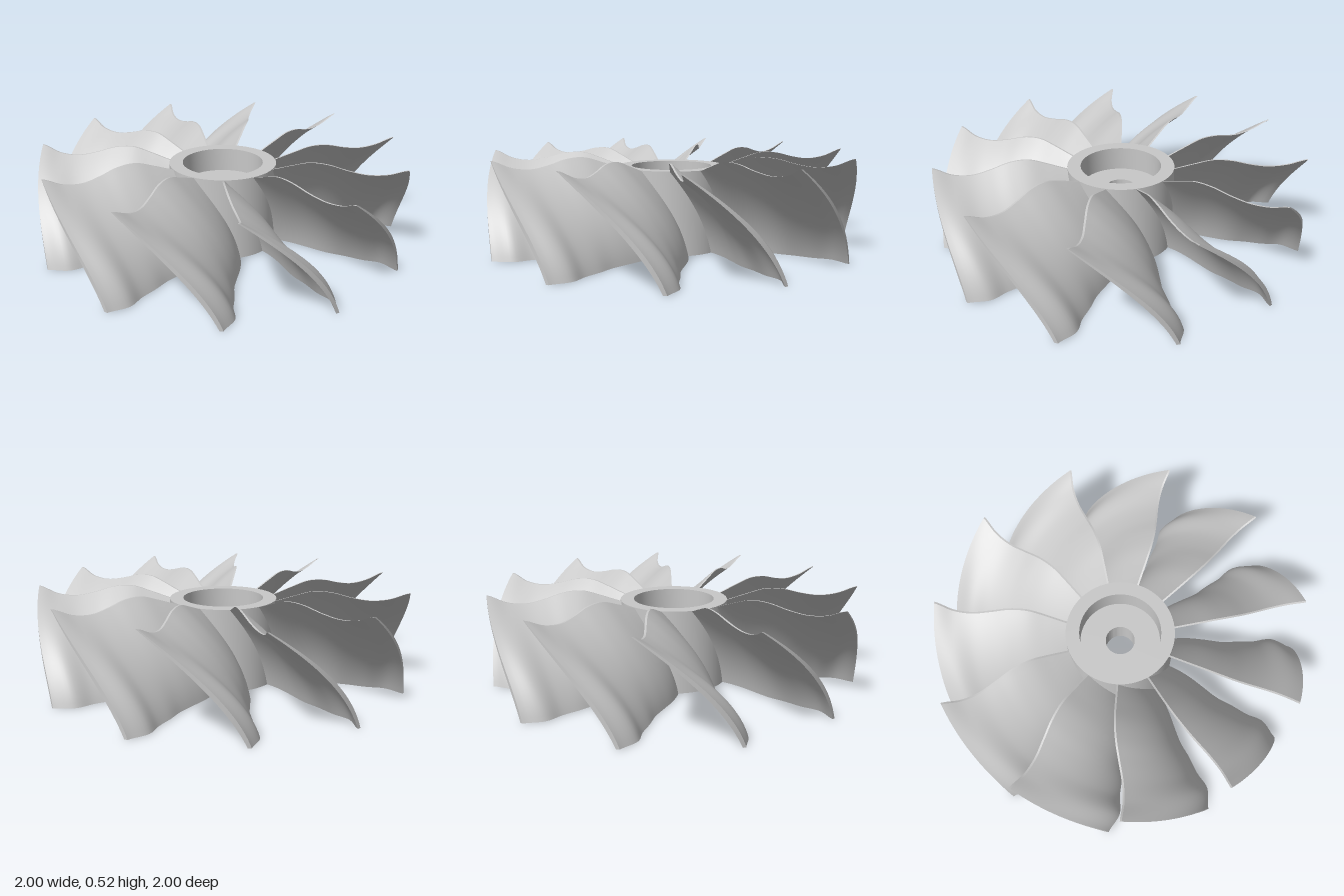
import * as THREE from 'three';
import { toCreasedNormals } from 'three/addons/utils/BufferGeometryUtils.js';

const BLADES = 11, ROOT = 0.275, TIP = 1;
const lerp = THREE.MathUtils.lerp;

// Smooth profile over radius 0.2 .. 1.0, sampled every 0.1
function profile(values) {
  const curve = new THREE.SplineCurve(values.map((v, i) => new THREE.Vector2(0.2 + 0.1 * i, v)));
  return r => curve.getPoint((r - 0.2) / 0.8).y;
}
const topHeight = profile([0.42, 0.45, 0.485, 0.515, 0.512, 0.487, 0.472, 0.485, 0.525]);
const topSweep = profile([-3, -3.1, -3.4, -3.3, -2.2, -0.6, 0.7, 0.9, 0]);
const bottomSweep = profile([20, 17, 12.5, 8, 5, 4.3, 3.3, 3.4, 0]);
const camber = profile([7, 7, 7, 6.5, 5.5, 4.5, 4.5, 5, 4]);

// Point on the blade: radius r, height fraction v, side -1 .. 1 across the thickness
function bladePoint(r, v, side) {
  const hump = 4 * v * (1 - v);
  const degrees = lerp(-18.2 + bottomSweep(r), -46.7 + topSweep(r), v) + camber(r) * hump;
  const halfThickness = lerp(0.009, 0.005, v) + 0.007 * hump;
  const a = THREE.MathUtils.degToRad(degrees) + side * halfThickness / r;
  return [r * Math.sin(a), v * topHeight(r), r * Math.cos(a)];
}

// Grid surface whose normal is du x dv, or the reverse when flipped
function sheet(nu, nv, flip, point) {
  const pos = [], index = [];
  for (let j = 0; j <= nv; j++)
    for (let i = 0; i <= nu; i++) pos.push(...point(i / nu, j / nv));
  for (let j = 0; j < nv; j++)
    for (let i = 0; i < nu; i++) {
      const a = j * (nu + 1) + i, b = a + 1, c = a + nu + 1, d = c + 1;
      if (flip) index.push(a, d, b, a, c, d);
      else index.push(a, b, d, a, d, c);
    }
  const g = new THREE.BufferGeometry();
  g.setAttribute('position', new THREE.Float32BufferAttribute(pos, 3));
  g.setIndex(index);
  g.computeVertexNormals();
  return g;
}

export function createModel() {
  const model = new THREE.Group();
  model.name = 'impeller';
  const metal = new THREE.MeshStandardMaterial({ color: 0xc8c8c8 });
  metal.name = 'light grey';

  // Hub: ring with a recess above and below a pierced web
  const outline = [
    [0.08, 0.18], [0.22, 0.18], [0.22, 0], [0.293, 0], [0.293, 0.45],
    [0.22, 0.45], [0.22, 0.32], [0.08, 0.32], [0.08, 0.18],
  ].map(p => new THREE.Vector2(...p));
  const hub = new THREE.Mesh(toCreasedNormals(new THREE.LatheGeometry(outline, 64), 0.6), metal);
  hub.name = 'hub';
  model.add(hub);

  // Blade surfaces, shared by every blade
  const radius = u => lerp(ROOT, TIP, u);
  const surfaces = {
    bladeUpperFace: sheet(44, 20, false, (u, v) => bladePoint(radius(u), v, -1)),
    bladeLowerFace: sheet(44, 20, true, (u, v) => bladePoint(radius(u), v, 1)),
    bladeTopEdge: sheet(44, 1, false, (u, v) => bladePoint(radius(u), 1, 2 * v - 1)),
    bladeBottomEdge: sheet(44, 1, true, (u, v) => bladePoint(radius(u), 0, 2 * v - 1)),
    bladeTip: sheet(1, 20, false, (u, v) => bladePoint(TIP, v, 2 * u - 1)),
  };

  for (let k = 0; k < BLADES; k++) {
    const blade = new THREE.Group();
    blade.name = 'blade' + (k + 1);
    for (const [name, geometry] of Object.entries(surfaces)) {
      const mesh = new THREE.Mesh(geometry, metal);
      mesh.name = name;
      blade.add(mesh);
    }
    blade.rotation.y = k * 2 * Math.PI / BLADES;
    model.add(blade);
  }
  return model;
}
